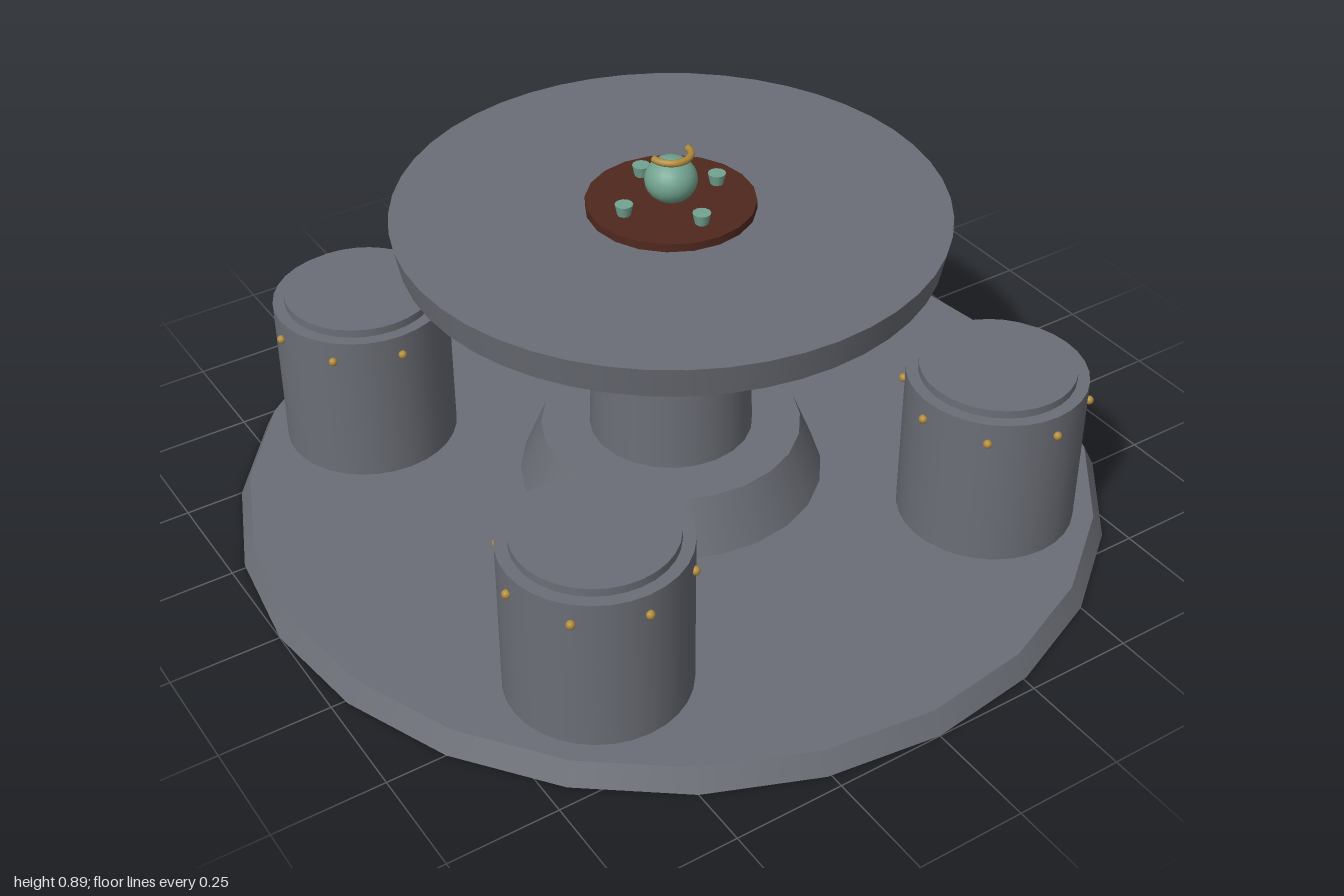
import * as THREE from 'three';

const material = (color) => new THREE.MeshStandardMaterial({ color });

export function createModel() {
  const group = new THREE.Group();
  const stone = material(0x6b6e76);
  const wood = material(0x4f281e);
  const jade = material(0x72a390);
  const brass = material(0xb08a3a);

  // Upright drum standing between heights y0 and y1
  function drum(parent, name, rTop, rBottom, y0, y1, sides, mat, x = 0, z = 0) {
    const mesh = new THREE.Mesh(new THREE.CylinderGeometry(rTop, rBottom, y1 - y0, sides), mat);
    mesh.name = name;
    mesh.position.set(x, (y0 + y1) / 2, z);
    parent.add(mesh);
    return mesh;
  }

  // Platform, pedestal and table top
  drum(group, 'platform', 0.975, 1, 0, 0.05, 24, stone);
  drum(group, 'pedestalFoot', 0.298, 0.35, 0.05, 0.178, 24, stone);
  drum(group, 'pedestalColumn', 0.168, 0.187, 0.178, 0.675, 24, stone);
  drum(group, 'tableTop', 0.607, 0.593, 0.675, 0.748, 48, stone);

  // Four drum stools, each with a raised seat and a ring of studs
  const studGeometry = new THREE.SphereGeometry(0.01, 10, 8);
  for (const sx of [-1, 1]) {
    for (const sz of [-1, 1]) {
      const stool = new THREE.Group();
      stool.name = 'stool';
      stool.position.set(sx * 0.515, 0, sz * 0.515);
      drum(stool, 'stoolBody', 0.2, 0.2, 0.05, 0.418, 32, stone);
      drum(stool, 'stoolSeat', 0.173, 0.173, 0.418, 0.437, 32, stone);
      for (let i = 0; i < 8; i++) {
        const a = (i * Math.PI) / 4;
        const stud = new THREE.Mesh(studGeometry, brass);
        stud.name = 'stoolStud';
        stud.position.set(0.203 * Math.cos(a), 0.37, 0.203 * Math.sin(a));
        stool.add(stud);
      }
      group.add(stool);
    }
  }

  // Tea set: tray, pot, half-ring handle and four cups
  const teaSet = new THREE.Group();
  teaSet.name = 'teaSet';
  drum(teaSet, 'tray', 0.186, 0.186, 0.748, 0.767, 20, wood);

  const pot = new THREE.Mesh(new THREE.SphereGeometry(0.058, 20, 14), jade);
  pot.name = 'teapot';
  pot.scale.y = 0.88;
  pot.position.y = 0.816;
  teaSet.add(pot);

  const handle = new THREE.Mesh(new THREE.TorusGeometry(0.043, 0.008, 8, 20, Math.PI), brass);
  handle.name = 'teapotHandle';
  handle.rotation.x = Math.PI / 2;
  handle.position.y = 0.878;
  teaSet.add(handle);

  for (let i = 0; i < 4; i++) {
    const a = (i * Math.PI) / 2;
    drum(teaSet, 'cup', 0.02, 0.015, 0.767, 0.792, 12, jade, 0.119 * Math.cos(a), 0.119 * Math.sin(a));
  }
  group.add(teaSet);

  return group;
}
